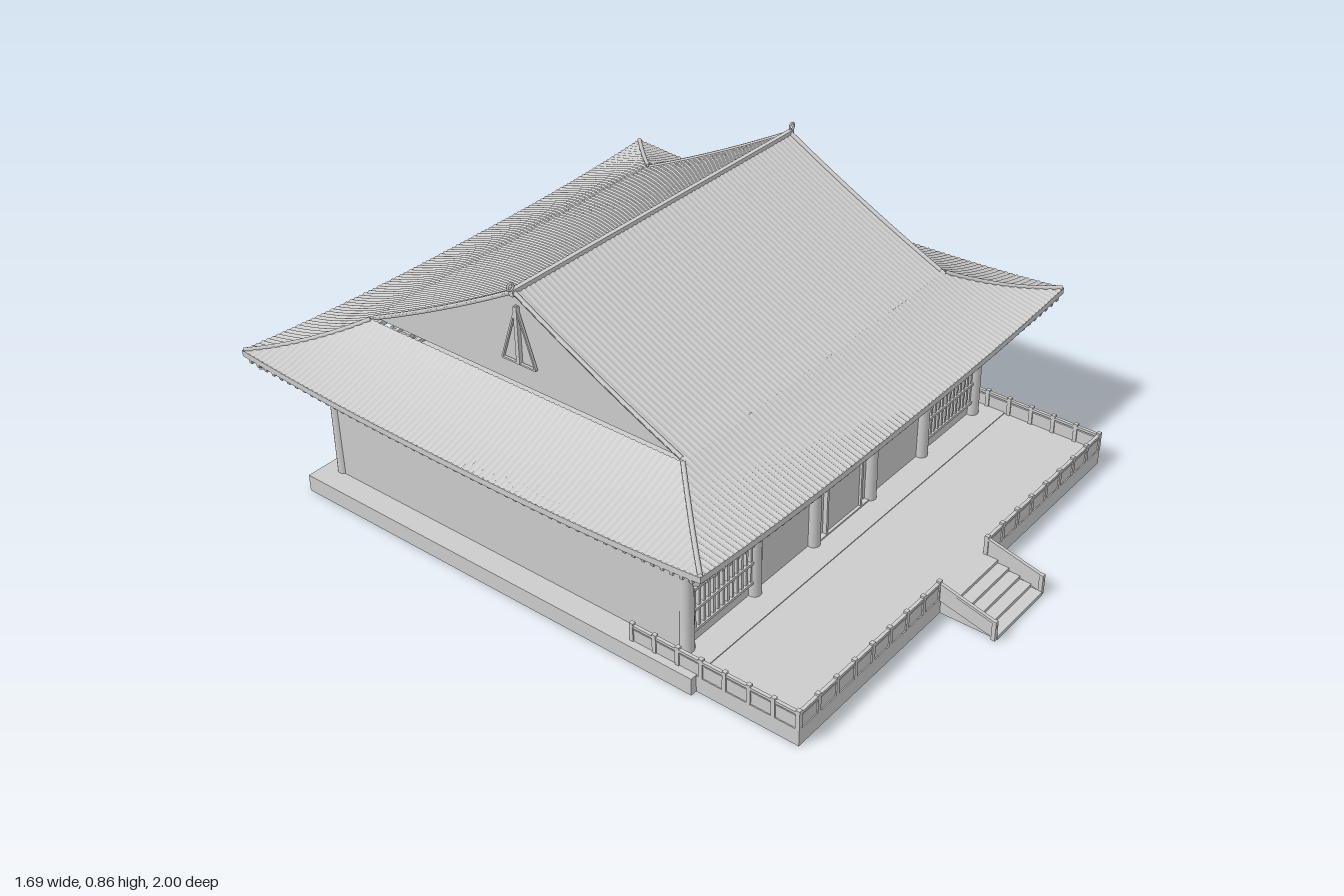
import * as THREE from 'three';
import { mergeGeometries } from 'three/addons/utils/BufferGeometryUtils.js';

const stone = new THREE.MeshStandardMaterial({ color: 0xcccccc, side: THREE.DoubleSide });
stone.name = 'pale grey';

const CZ = -0.197;                       // centre of the hall in z
const IN = [0.595, 0.55];                // half size of the upper roof (x, z)
const OUT = [0.845, 0.803];              // half size of the eaves (x, z)
const WALL = [0.69, 0.64];               // half size of the walls (x, z)
const lerp = THREE.MathUtils.lerp;

// axis-aligned box from min and max corners
function box(x0, x1, y0, y1, z0, z1) {
  return new THREE.BoxGeometry(x1 - x0, y1 - y0, z1 - z0)
    .translate((x0 + x1) / 2, (y0 + y1) / 2, (z0 + z1) / 2);
}

// square bar between two points
function beam(p, q, w, h = w) {
  const a = new THREE.Vector3(...p), b = new THREE.Vector3(...q);
  const o = new THREE.Object3D();
  o.position.copy(a).add(b).multiplyScalar(0.5);
  o.lookAt(b);
  o.updateMatrix();
  return new THREE.BoxGeometry(w, h, a.distanceTo(b)).applyMatrix4(o.matrix);
}

// grid surface from f(u, v), u and v in 0..1
function patch(nu, nv, f) {
  const pos = [], idx = [];
  for (let i = 0; i <= nu; i++) for (let j = 0; j <= nv; j++) pos.push(...f(i / nu, j / nv));
  for (let i = 0; i < nu; i++) for (let j = 0; j < nv; j++) {
    const a = i * (nv + 1) + j, b = a + nv + 1;
    idx.push(a, a + 1, b, b, a + 1, b + 1);
  }
  const g = new THREE.BufferGeometry();
  g.setAttribute('position', new THREE.Float32BufferAttribute(pos, 3));
  g.setIndex(idx);
  g.computeVertexNormals();
  return g;
}

// roof heights: tile ribs, main slope, and skirt with upswept corners
const rib = a => 0.003 * Math.max(0, Math.cos((a / 0.018) * Math.PI * 2));
const slopeY = d => 0.825 - 0.57 * d + 0.11 * d * d;
const skirtY = (t, s) => 0.545 - 0.105 * (1.3 * t - 0.3 * t * t)
  + 0.03 * t * t * Math.pow(Math.abs(s), 2.5);

// point on the skirt of side k; a runs along the eave, v from top to eave
function skirtPoint(k, a, v) {
  const w = k % 2, i = IN[w], o = OUT[w], d = 1 - w;
  const t0 = Math.max(0, (Math.abs(a) - i) / (o - i));
  const t = lerp(t0, 1, v);
  return [a, skirtY(t, a / lerp(i, o, t)), lerp(IN[d], OUT[d], t)];
}

export function createModel() {
  const model = new THREE.Group();
  const add = (name, geo, parent = model) => {
    const m = new THREE.Mesh(Array.isArray(geo) ? mergeGeometries(geo) : geo, stone);
    m.name = name;
    parent.add(m);
    return m;
  };

  // platform, terrace and steps
  add('platform', box(-0.765, 0.765, 0, 0.053, -0.89, 0.51));
  add('terrace', box(-0.745, 0.745, 0, 0.05, 0.51, 0.825));
  const steps = [];
  for (let i = 0; i < 5; i++) steps.push(box(-0.115, 0.115, 0, 0.05 - i * 0.01, 0.825 + i * 0.035, 0.86 + i * 0.035));
  add('steps', steps);

  // railings, mirrored
  const rails = [];
  for (const s of [-1, 1]) {
    const runs = [
      [[0.74, 0.3], [0.74, 0.82], 7], [[0.74, 0.82], [0.12, 0.82], 8],
    ];
    for (const [[xa, za], [xb, zb], n] of runs) {
      for (const [y, w, h] of [[0.07, 0.004, 0.04], [0.1, 0.01, 0.008], [0.088, 0.006, 0.005]])
        rails.push(beam([s * xa, y, za], [s * xb, y, zb], w, h));
      for (let i = 0; i <= n; i++) {
        const x = s * lerp(xa, xb, i / n), z = lerp(za, zb, i / n);
        rails.push(box(x - 0.006, x + 0.006, 0.05, 0.11, z - 0.006, z + 0.006));
      }
    }
    const x = s * 0.12;
    rails.push(beam([x, 0.1, 0.82], [x, 0.056, 0.995], 0.01, 0.008));
    rails.push(beam([x, 0.07, 0.82], [x, 0.028, 0.995], 0.005, 0.045));
    rails.push(box(x - 0.006, x + 0.006, 0, 0.062, 0.986, 0.998));
  }
  add('railings', rails);

  // walls and the band above them
  add('walls', box(-0.695, 0.695, 0.05, 0.295, -0.84, 0.425));
  add('wallBand', box(-0.7, 0.7, 0.295, 0.322, -0.843, 0.435));

  // front and corner columns
  const columnX = [-0.68, -0.4, -0.135, 0.135, 0.4, 0.68];
  const columns = columnX.map(x => new THREE.CylinderGeometry(0.018, 0.02, 0.28, 16).translate(x, 0.19, 0.43));
  for (const x of [-0.683, 0.683]) columns.push(new THREE.CylinderGeometry(0.018, 0.02, 0.28, 16).translate(x, 0.19, -0.828));
  add('columns', columns);

  // door with frame
  add('door', [
    box(-0.078, 0.078, 0.05, 0.232, 0.42, 0.431),
    box(-0.086, -0.078, 0.05, 0.24, 0.42, 0.438), box(0.078, 0.086, 0.05, 0.24, 0.42, 0.438),
    box(-0.086, 0.086, 0.232, 0.24, 0.42, 0.438), box(-0.12, 0.12, 0.05, 0.058, 0.42, 0.44),
  ]);

  // barred windows in the outer bays, plain panels in the inner bays
  const windows = [];
  for (const s of [-1, 1]) {
    for (const y of [0.1, 0.165, 0.23, 0.27]) windows.push(beam([s * 0.415, y, 0.43], [s * 0.66, y, 0.43], 0.018, 0.008));
    for (let i = 0; i <= 12; i++) {
      const x = s * (0.42 + i * 0.0195);
      windows.push(box(x - 0.004, x + 0.004, 0.1, 0.23, 0.422, 0.435));
    }
    windows.push(beam([s * 0.15, 0.297, 0.43], [s * 0.39, 0.297, 0.43], 0.02, 0.008));
  }
  add('windows', windows);

  // each side of the hall: roof skirt, eave, rafters, beams and brackets
  for (let k = 0; k < 4; k++) {
    const side = new THREE.Group();
    side.name = 'roofSide' + (k + 1);
    side.rotation.y = k * Math.PI / 2;
    side.position.z = CZ;
    model.add(side);
    const w = k % 2, half = OUT[w], wallHalf = WALL[w], wallOut = WALL[1 - w];
    const at = (u, v, drop = 0) => {
      const p = skirtPoint(k, (u * 2 - 1) * half, v);
      p[1] -= drop;
      return p;
    };
    add('skirtTiles', patch(Math.round(half * 2 / 0.003), 7, (u, v) => {
      const p = at(u, v);
      p[1] += rib(p[0]);
      return p;
    }), side);
    add('soffit', patch(60, 6, (u, v) => at(1 - u, v, 0.018)), side);
    add('eaveEdge', patch(60, 1, (u, v) => at(u, 1, v * 0.018)), side);

    const rafters = [];
    const n = Math.round(half * 2 / 0.03);
    for (let i = 1; i < n; i++) rafters.push(beam(at(i / n, 0.4, 0.024), at(i / n, 0.98, 0.024), 0.01, 0.012));
    add('rafters', rafters, side);

    const beams = [];
    for (const [y, h, o] of [[0.332, 0.012, 0], [0.365, 0.008, 0], [0.402, 0.01, 0], [0.415, 0.01, 0.08]])
      beams.push(beam([-wallHalf - o, y, wallOut + o - 0.01], [wallHalf + o, y, wallOut + o - 0.01], 0.014, h));
    add('beams', beams, side);

    // stepped brackets over the columns, slim struts between
    const sets = w ? [-0.38, -0.127, 0.127, 0.38] : [-0.4, -0.135, 0.135, 0.4];
    const brackets = [];
    for (const a of sets) {
      brackets.push(box(a - 0.02, a + 0.02, 0.322, 0.345, wallOut - 0.03, wallOut + 0.01));
      [[0.035, 0.35, 0.02], [0.048, 0.375, 0.05], [0.06, 0.4, 0.085]].forEach(([r, y, o]) => {
        brackets.push(box(a - r, a + r, y - 0.006, y + 0.006, wallOut + o - 0.028, wallOut + o - 0.014));
        brackets.push(box(a - r * 0.75, a + r * 0.75, y - 0.01, y - 0.006, wallOut + o - 0.028, wallOut + o - 0.014));
        brackets.push(box(a - 0.008, a + 0.008, y - 0.008, y + 0.006, wallOut - 0.03, wallOut + o));
        for (const b of [-r, 0, r]) brackets.push(box(a + b - 0.008, a + b + 0.008, y + 0.006, y + 0.016, wallOut + o - 0.03, wallOut + o - 0.012));
      });
    }
    for (const a of w ? [-0.5, -0.253, 0, 0.253, 0.5] : [-0.535, -0.27, 0, 0.27, 0.535])
      brackets.push(box(a - 0.007, a + 0.007, 0.322, 0.42, wallOut - 0.02, wallOut - 0.006));
    add('brackets', brackets, side);

    // diagonal corner bracket and hip ridge
    const corner = [];
    [[0.03, 0.345], [0.065, 0.372], [0.1, 0.398], [0.13, 0.42]].forEach(([o, y]) => {
      const x = wallHalf + o, z = wallOut + o;
      corner.push(beam([wallHalf - 0.03, y, wallOut - 0.03], [x, y, z], 0.016, 0.014));
      corner.push(beam([x - 0.05, y + 0.008, z - 0.01], [x + 0.008, y + 0.008, z - 0.01], 0.012, 0.01));
      corner.push(beam([x - 0.01, y + 0.008, z - 0.05], [x - 0.01, y + 0.008, z + 0.008], 0.012, 0.01));
    });
    corner.push(box(wallHalf - 0.03, wallHalf + 0.015, 0.322, 0.342, wallOut - 0.03, wallOut + 0.015));
    add('cornerBracket', corner, side);
    const hip = [];
    for (let i = 0; i <= 8; i++) {
      const t = i / 8;
      hip.push(new THREE.Vector3(lerp(IN[w], half - 0.004, t), skirtY(t, 1) + 0.001, lerp(IN[1 - w], OUT[1 - w] - 0.004, t)));
    }
    add('hipRidge', new THREE.TubeGeometry(new THREE.CatmullRomCurve3(hip), 16, 0.007, 6), side);
  }

  // upper gabled roof
  const upper = new THREE.Group();
  upper.name = 'upperRoof';
  upper.position.z = CZ;
  model.add(upper);
  for (const r of [0, Math.PI]) {
    const m = add('upperTiles', patch(400, 10, (u, v) => {
      const x = (u * 2 - 1) * IN[0], d = v * IN[1];
      return [x, slopeY(d) + rib(x), d];
    }), upper);
    m.rotation.y = r;
  }
  add('ridge', box(-0.597, 0.597, 0.815, 0.834, -0.007, 0.007), upper);

  // gable ends with edge boards, pendant and curled finials
  const gable = new THREE.Shape();
  gable.moveTo(-0.54, 0.54);
  gable.lineTo(0.54, 0.54);
  for (let i = 10; i >= -10; i--) gable.lineTo(i * 0.054, slopeY(Math.abs(i) * 0.054) - 0.003);
  for (const s of [-1, 1]) {
    const wall = add('gableWall', new THREE.ShapeGeometry(gable), upper);
    wall.rotation.y = s * Math.PI / 2;
    wall.position.x = s * 0.575;
    for (const f of [-1, 1]) {
      const pts = [];
      for (let i = 0; i <= 6; i++) pts.push(new THREE.Vector3(s * 0.588, slopeY(i * 0.09) + 0.001, f * i * 0.09));
      add('gableEdge', new THREE.TubeGeometry(new THREE.CatmullRomCurve3(pts), 14, 0.007, 6), upper);
    }
    const x = s * 0.582;
    add('gablePendant', [
      beam([x, 0.78, 0], [x, 0.61, -0.058], 0.008, 0.005), beam([x, 0.78, 0], [x, 0.61, 0.058], 0.008, 0.005),
      beam([x, 0.61, -0.058], [x, 0.61, 0.058], 0.008, 0.005), box(x - 0.006, x + 0.006, 0.61, 0.78, -0.006, 0.006),
    ], upper);
    add('finial', new THREE.TorusGeometry(0.01, 0.0035, 6, 16).translate(s * 0.597, 0.843, 0), upper);
  }

  // small hanging plaque over the entrance
  add('plaque', box(-0.018, 0.018, 0.325, 0.385, 0.455, 0.463));
  return model;
}
